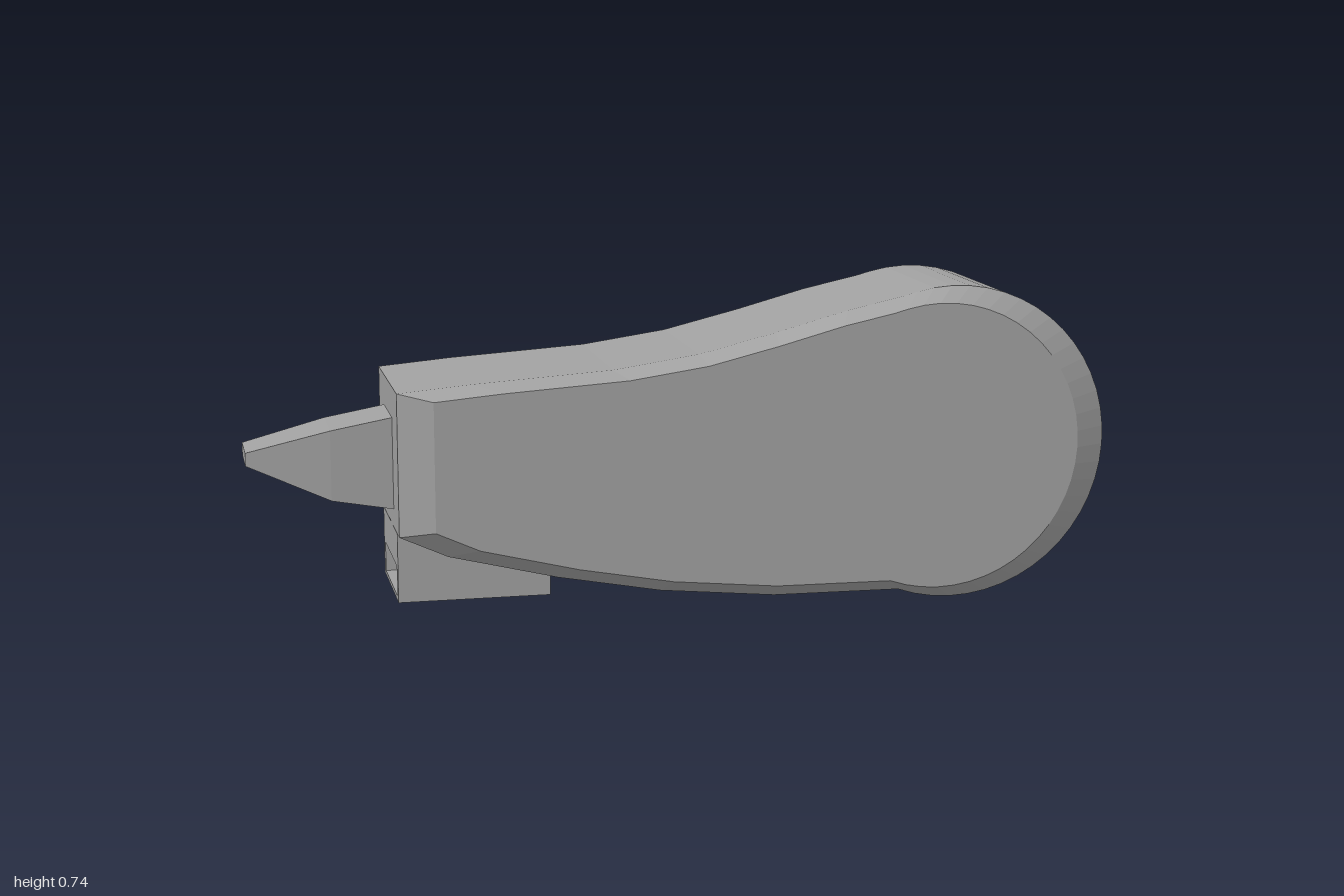
import * as THREE from 'three';

const grey = new THREE.MeshStandardMaterial({ color: 0xa0a0a0, flatShading: true });
grey.name = 'grey plastic';

// Joins equal-length rings of [x, y, z] points (counter-clockwise about the ring direction) and caps both ends.
function loft(rings, capShape) {
  const n = rings[0].length;
  const index = [];
  for (let k = 0; k < rings.length - 1; k++) {
    for (let i = 0; i < n; i++) {
      const a = k * n + i, b = k * n + (i + 1) % n;
      index.push(a, b, b + n, a, b + n, a + n);
    }
  }
  const last = (rings.length - 1) * n;
  for (const [a, b, c] of THREE.ShapeUtils.triangulateShape(capShape, [])) {
    index.push(a, c, b, last + a, last + b, last + c);
  }
  const geometry = new THREE.BufferGeometry();
  geometry.setAttribute('position', new THREE.Float32BufferAttribute(rings.flat(2), 3));
  geometry.setIndex(index);
  const flat = geometry.toNonIndexed();
  flat.computeVertexNormals();
  return flat;
}

// Teardrop outline, counter-clockwise: underside, round end, top side
function bodyOutline() {
  const points = [[-0.67, 0.207], [-0.56, 0.157], [-0.31, 0.096], [-0.07, 0.052], [0.2, 0.026]];
  const segments = 32;
  for (let i = 0; i <= segments; i++) {
    const t = THREE.MathUtils.degToRad(-110.5 + (215.5 * i) / segments);
    points.push([0.63 + 0.37 * Math.cos(t), 0.37 + 0.37 * Math.sin(t)]);
  }
  points.push([0.5, 0.718], [0.37, 0.69], [0.2, 0.644], [0.02, 0.6], [-0.18, 0.571], [-0.5, 0.55], [-0.67, 0.535]);
  return points.map(([x, y]) => new THREE.Vector2(x, y));
}

function add(group, name, geometry) {
  const mesh = new THREE.Mesh(geometry, grey);
  mesh.name = name;
  group.add(mesh);
  return mesh;
}

export function createModel() {
  const model = new THREE.Group();
  model.name = 'tapeDispenser';

  // Body with faces shrunk towards the middle to form the bevel
  const outline = bodyOutline();
  const bodyRings = [[-0.232, 0.907], [-0.19, 1], [0.19, 1], [0.232, 0.907]].map(([z, s]) =>
    outline.map((p) => [0.165 + (p.x - 0.165) * s, 0.37 + (p.y - 0.37) * s, z]));
  add(model, 'body', loft(bodyRings, outline));

  // Tapered tip, rectangular sections from the point to the body
  const tipRings = [[-1, 0.36, 0.39, 0.065], [-0.81, 0.275, 0.437, 0.085], [-0.66, 0.248, 0.464, 0.085]]
    .map(([x, low, high, w]) => [[x, low, w], [x, low, -w], [x, high, -w], [x, high, w]]);
  const square = [[0, 0], [1, 0], [1, 1], [0, 1]].map(([x, y]) => new THREE.Vector2(x, y));
  add(model, 'tip', loft(tipRings, square));

  // Foot: a block under the narrow end with a slot open towards the tip
  const frame = new THREE.Shape();
  frame.moveTo(-0.147, 0.045).lineTo(0.147, 0.045).lineTo(0.147, 0.206).lineTo(-0.147, 0.206).closePath();
  const slot = new THREE.Path();
  slot.moveTo(-0.12, 0.055).lineTo(-0.12, 0.125).lineTo(0.12, 0.125).lineTo(0.12, 0.055).closePath();
  frame.holes.push(slot);
  const footGeometry = new THREE.ExtrudeGeometry(frame, { depth: 0.35, bevelEnabled: false });
  footGeometry.rotateY(Math.PI / 2);
  add(model, 'foot', footGeometry).position.x = -0.67;

  // Wall closing the inner end of the slot
  add(model, 'slotEnd', new THREE.BoxGeometry(0.02, 0.08, 0.25)).position.set(-0.3305, 0.09, 0);

  return model;
}
